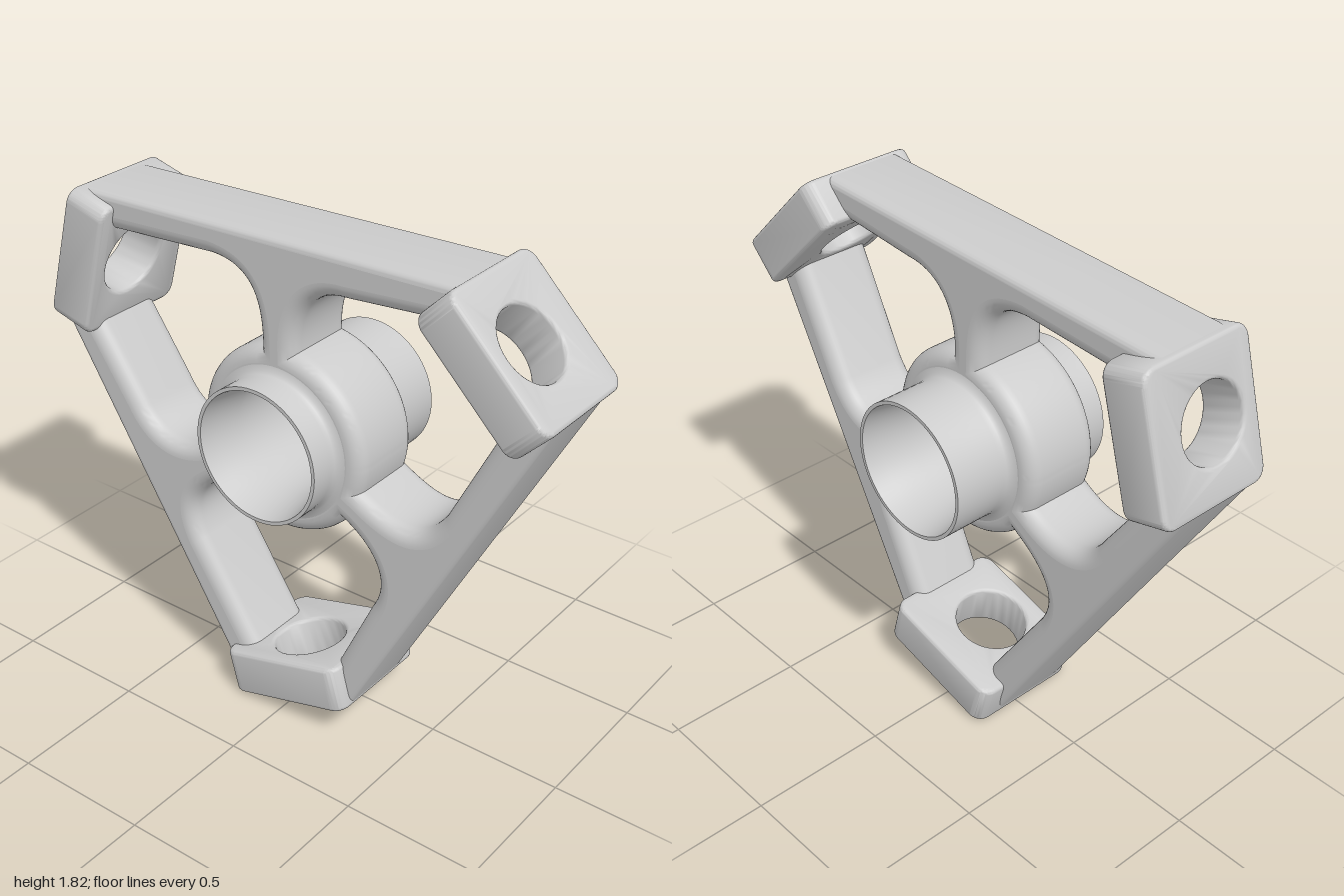
import * as THREE from 'three';
import { toCreasedNormals } from 'three/addons/utils/BufferGeometryUtils.js';

const solid = new THREE.MeshStandardMaterial({ color: 0xcccccc });
const thin = new THREE.MeshStandardMaterial({ color: 0xcccccc, side: THREE.DoubleSide });
const FRONT = 0.205, BACK = -0.1;    // faces of the frame
const INNER = 0.055, OUTER = 0.025;  // rounding of the window and outside edges
const THIRD = (Math.PI * 2) / 3;
const HUB = new THREE.Vector2(-0.02, 1.08);
const PAD_ANGLE = Math.PI / 4;       // direction of the first corner pad

const mesh = (name, geometry, material) => {
  const m = new THREE.Mesh(geometry, material);
  m.name = name;
  return m;
};

// Open skin between rows of points
function skin(rows) {
  const n = rows[0].length, index = [];
  for (let j = 0; j < rows.length - 1; j++) {
    for (let i = 0; i < n - 1; i++) {
      const a = j * n + i, b = a + 1, c = b + n, d = a + n;
      index.push(a, b, c, a, c, d);
    }
  }
  const g = new THREE.BufferGeometry();
  g.setAttribute('position', new THREE.Float32BufferAttribute(rows.flat().flatMap((p) => [p.x, p.y, p.z]), 3));
  g.setIndex(index);
  g.computeVertexNormals();
  return toCreasedNormals(g, 0.7);
}

// Moves a loop towards its left side, keeping its corners mitred
function offset(points, amount) {
  const n = points.length;
  const normal = (a, b) => new THREE.Vector2(a.y - b.y, b.x - a.x).normalize();
  return points.map((p, i) => {
    const n0 = normal(points[(i + n - 1) % n], p);
    const n1 = normal(p, points[(i + 1) % n]);
    const m = n0.clone().add(n1).normalize();
    return p.clone().addScaledVector(m, amount / Math.max(0.5, m.dot(n1)));
  });
}

// Wall from back to front along part of a loop, rounded into both faces
function roundedWall(loop, radius, pick) {
  const steps = 8, rows = [];
  for (const side of [-1, 1]) {
    for (let j = 0; j <= steps; j++) {
      const t = ((side < 0 ? steps - j : j) / steps) * Math.PI / 2;
      const drop = radius * (1 - Math.sin(t));
      const z = side > 0 ? FRONT - drop : BACK + drop;
      const moved = offset(loop, radius * (1 - Math.cos(t)));
      rows.push(pick.map((i) => new THREE.Vector3(moved[i].x, moved[i].y, z)));
    }
  }
  return skin(rows);
}

// Window between two spokes, two bars and a pad; starts and ends inside the pad
function windowPoints() {
  const s = new THREE.Shape();
  s.moveTo(-0.755, 0.559);
  s.lineTo(-0.28, 0.585);
  s.bezierCurveTo(-0.13, 0.58, -0.083, 0.5, -0.083, 0.325);
  s.absarc(0, 0, 0.335, 1.82, 3.49, false);
  s.bezierCurveTo(-0.42, -0.18, -0.55, -0.2, -0.63, -0.06);
  s.lineTo(-0.846, 0.251);
  const pts = s.getPoints(20);
  return pts.filter((p, i) => p.distanceTo(pts[(i + 1) % pts.length]) > 1e-3);
}

// Ends of the outer face of each pad, counter-clockwise around the frame
function outline() {
  const pts = [];
  for (let i = 0; i < 3; i++) {
    const a = PAD_ANGLE + i * THIRD, c = Math.cos(a), s = Math.sin(a);
    for (const u of [-0.45, 0.05]) pts.push(new THREE.Vector2(c * 0.99 - s * u, s * 0.99 + c * u));
  }
  return pts;
}

function makeFrame() {
  const g = new THREE.Group();
  g.name = 'frame';
  const origin = new THREE.Vector2();
  const corners = outline();
  const plate = new THREE.Shape(offset(corners, OUTER));
  plate.holes.push(new THREE.Path().absarc(0, 0, 0.265, 0, Math.PI * 2, true));
  const base = windowPoints();

  for (let i = 0; i < 3; i++) {
    const loop = base.map((p) => p.clone().rotateAround(origin, i * THIRD));
    plate.holes.push(new THREE.Path(offset(loop, INNER)));
    g.add(mesh('windowWall', roundedWall(loop, INNER, [...loop.keys()]), thin));
    g.add(mesh('barOuterWall', roundedWall(corners, OUTER, [i * 2 + 1, (i * 2 + 2) % 6]), thin));
  }

  // Flat front and back faces
  const front = mesh('frontFace', new THREE.ShapeGeometry(plate, 48), solid);
  front.position.z = FRONT;
  const backGeometry = new THREE.ShapeGeometry(plate, 48);
  const idx = backGeometry.index.array;
  for (let i = 0; i < idx.length; i += 3) [idx[i], idx[i + 1]] = [idx[i + 1], idx[i]];
  backGeometry.computeVertexNormals();
  const back = mesh('backFace', backGeometry, solid);
  back.position.z = BACK;
  g.add(front, back);
  return g;
}

// Rounded corner pad with a radial hole
function makePad(angle) {
  const x0 = -0.455, x1 = 0.055, y0 = -0.19, y1 = 0.26, r = 0.05;
  const s = new THREE.Shape();
  s.absarc(x1 - r, y0 + r, r, -Math.PI / 2, 0, false);
  s.absarc(x1 - r, y1 - r, r, 0, Math.PI / 2, false);
  s.absarc(x0 + r, y1 - r, r, Math.PI / 2, Math.PI, false);
  s.absarc(x0 + r, y0 + r, r, Math.PI, Math.PI * 1.5, false);
  s.holes.push(new THREE.Path().absarc(-0.2, 0.065, 0.13, 0, Math.PI * 2, true));
  const bevel = 0.015;
  const geo = new THREE.ExtrudeGeometry(s, {
    depth: 0.168 - bevel * 2, bevelThickness: bevel, bevelSize: bevel, bevelOffset: -bevel,
    bevelSegments: 4, curveSegments: 20,
  });
  geo.translate(0, 0, 0.83 + bevel);
  const c = Math.cos(angle), n = Math.sin(angle);
  geo.applyMatrix4(new THREE.Matrix4().makeBasis(
    new THREE.Vector3(-n, c, 0), new THREE.Vector3(0, 0, 1), new THREE.Vector3(c, n, 0)));
  return mesh('cornerPad', toCreasedNormals(geo, 0.7), solid);
}

// Hub sleeve: thin-lipped collar on each side with a through bore
function makeHub() {
  const profile = [
    [0.275, FRONT], [0.257, 0.211], [0.248, 0.222], [0.245, 0.24], [0.245, 0.325], [0.232, 0.325],
    [0.22, 0.26], [0.205, 0.16], [0.205, -0.16], [0.22, -0.26],
    [0.232, -0.33], [0.245, -0.33], [0.245, -0.14], [0.248, -0.12], [0.257, -0.107], [0.275, BACK],
  ].map(([x, y]) => new THREE.Vector2(x, y));
  const geo = new THREE.LatheGeometry(profile, 72).rotateX(Math.PI / 2);
  return mesh('hubSleeve', toCreasedNormals(geo, 0.6), thin);
}

export function createModel() {
  const model = new THREE.Group();
  model.name = 'triangularBracket';
  const body = new THREE.Group();
  body.name = 'body';
  body.position.set(HUB.x, HUB.y, 0);
  body.add(makeFrame(), makeHub());
  for (let i = 0; i < 3; i++) body.add(makePad(PAD_ANGLE + i * THIRD));
  model.add(body);
  return model;
}
